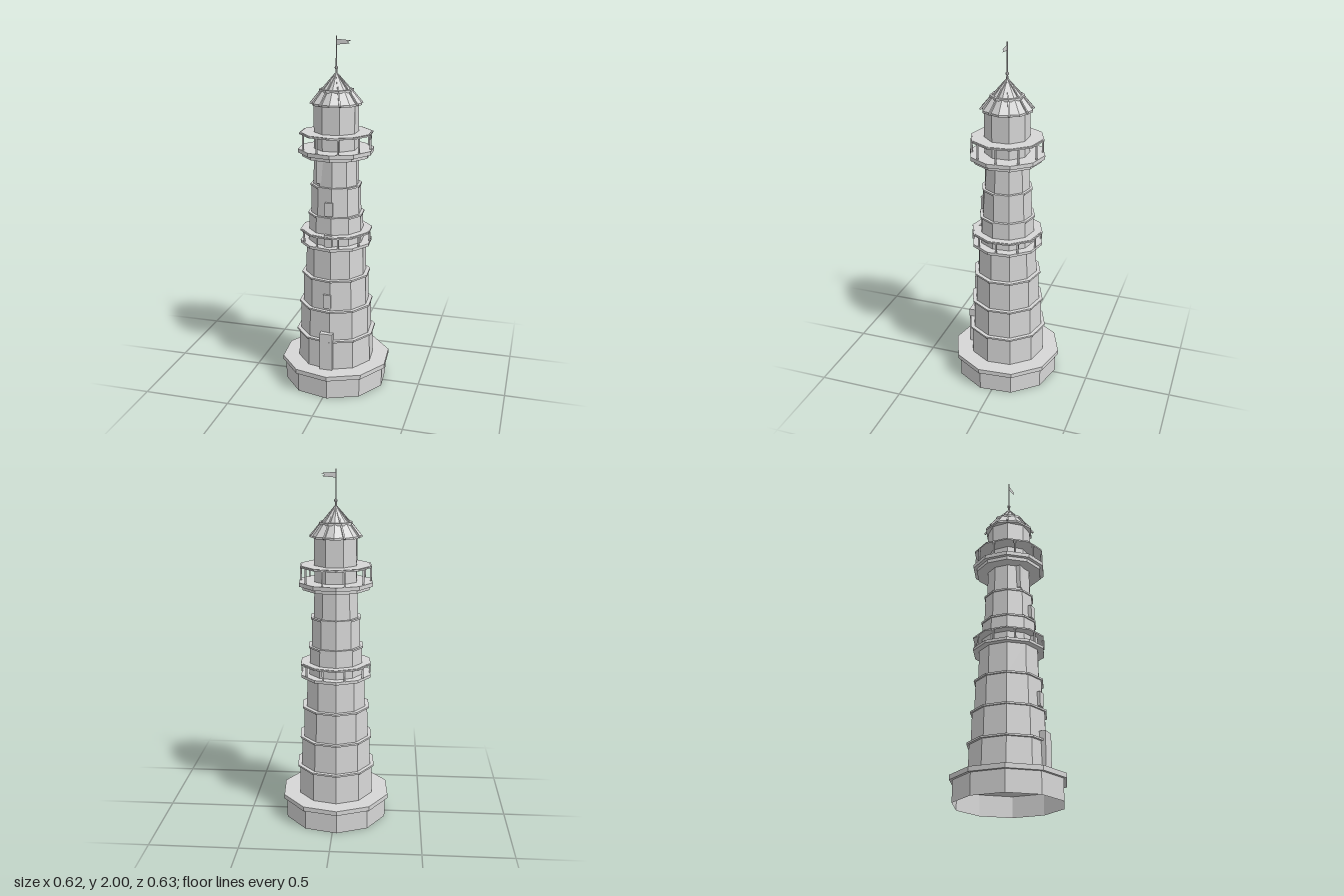
import * as THREE from 'three';

const DEG = Math.PI / 180;

export function createModel() {
  const model = new THREE.Group();
  model.name = 'lighthouse';
  const stone = new THREE.MeshStandardMaterial({ color: 0xd6d6d6, flatShading: true, side: THREE.DoubleSide });
  stone.name = 'grey stone';

  const add = (name, geometry) => {
    const mesh = new THREE.Mesh(geometry, stone);
    mesh.name = name;
    model.add(mesh);
    return mesh;
  };
  // Faceted drum between two heights, turned by some degrees
  const drum = (name, y0, y1, r0, r1, sides = 10, turn = 4.5, open = false) => {
    const g = new THREE.CylinderGeometry(r1, r0, y1 - y0, sides, 1, open, turn * DEG);
    g.translate(0, (y0 + y1) / 2, 0);
    return add(name, g);
  };
  // Upright box, its centre at (x, z)
  const block = (name, x, z, y0, y1, w, d) => {
    const g = new THREE.BoxGeometry(w, y1 - y0, d);
    g.translate(x, (y0 + y1) / 2, z);
    return add(name, g);
  };
  // Sloping bar from (r0, y0) to (r1, y1) at an angle around the axis
  const rib = (name, angle, r0, y0, r1, y1, w) => {
    const g = new THREE.BoxGeometry(w, w, Math.hypot(r1 - r0, y1 - y0));
    g.rotateX(Math.atan2(y0 - y1, r1 - r0));
    g.translate(0, (y0 + y1) / 2, (r0 + r1) / 2);
    g.rotateY(angle * DEG);
    return add(name, g);
  };

  // Hollow foundation, open underneath, and its slab
  drum('foundation', 0, 0.117, 0.3, 0.3, 10, 4.5, true);
  drum('foundationSlab', 0.117, 0.143, 0.317, 0.317);

  // Tower of stepped, nearly upright tiers with a thin ledge on most joints
  const levels = [0.143, 0.315, 0.49, 0.67, 0.86, 1.025, 1.19, 1.36];
  const radii = [0.219, 0.206, 0.19, 0.172, 0.155, 0.141, 0.127];
  const ledges = [0, 0.231, 0.214, 0.198, 0, 0.16, 0.145];
  radii.forEach((r, i) => {
    drum('towerTier', levels[i], levels[i + 1], r + 0.002, r - 0.002);
    if (ledges[i]) drum('ledge', levels[i] - 0.005, levels[i] + 0.005, ledges[i], ledges[i]);
  });

  // Galleries: posts and a covering rail deck above each floor
  const gallery = (floor, rail) => {
    for (let i = 0; i < 10; i++) {
      const a = (18 + 36 * i) * DEG;
      block('galleryPost', 0.194 * Math.sin(a), 0.194 * Math.cos(a), floor, rail, 0.009, 0.009);
    }
    drum('galleryRail', rail, rail + 0.008, 0.206, 0.206);
    drum('galleryDeck', rail + 0.008, rail + 0.01, 0.199, 0.199);
  };
  drum('lowerGalleryFloor', 0.85, 0.866, 0.205, 0.205);
  gallery(0.866, 0.922);
  drum('upperGalleryBracket', 1.353, 1.373, 0.192, 0.192);
  drum('upperGalleryFloor', 1.373, 1.395, 0.212, 0.212);
  gallery(1.395, 1.476);

  // Door, windows and the bay under the upper gallery
  block('door', 0, 0.2, 0.143, 0.365, 0.074, 0.058);
  block('window', -0.003, 0.18, 0.51, 0.59, 0.044, 0.034);
  block('window', -0.003, 0.152, 0.86, 0.935, 0.044, 0.034);
  block('window', -0.003, 0.135, 1.04, 1.115, 0.044, 0.034);
  block('bay', -0.045, 0.08, 1.213, 1.356, 0.076, 0.064);

  // Lantern room
  drum('lanternRoom', 1.395, 1.64, 0.125, 0.125, 8, 22.5);

  // Two stage roof with ribs along the middle of each side
  drum('eave', 1.637, 1.648, 0.144, 0.144, 8, 0);
  drum('lowerRoof', 1.648, 1.712, 0.143, 0.09, 8, 0);
  drum('roofCollar', 1.706, 1.72, 0.095, 0.095, 8, 22.5);
  drum('upperRoof', 1.72, 1.805, 0.078, 0.003, 8, 0);
  for (let i = 0; i < 8; i++) {
    const a = 22.5 + 45 * i;
    rib('lowerRoofRib', a, 0.145, 1.641, 0.087, 1.711, 0.009);
    rib('upperRoofRib', a, 0.08, 1.716, 0.005, 1.801, 0.008);
  }

  // Finial, mast and swallowtail flag
  drum('finialNeck', 1.795, 1.826, 0.007, 0.005, 8, 0);
  const ball = new THREE.SphereGeometry(0.01, 8, 6);
  ball.translate(0, 1.833, 0);
  add('finialBall', ball);
  drum('mast', 1.83, 2, 0.004, 0.003, 6, 0);
  const flag = new THREE.Shape();
  flag.moveTo(0, 1.984);
  flag.lineTo(0.08, 1.978);
  flag.lineTo(0.06, 1.969);
  flag.lineTo(0.075, 1.961);
  flag.lineTo(0, 1.954);
  add('flag', new THREE.ShapeGeometry(flag));

  return model;
}
